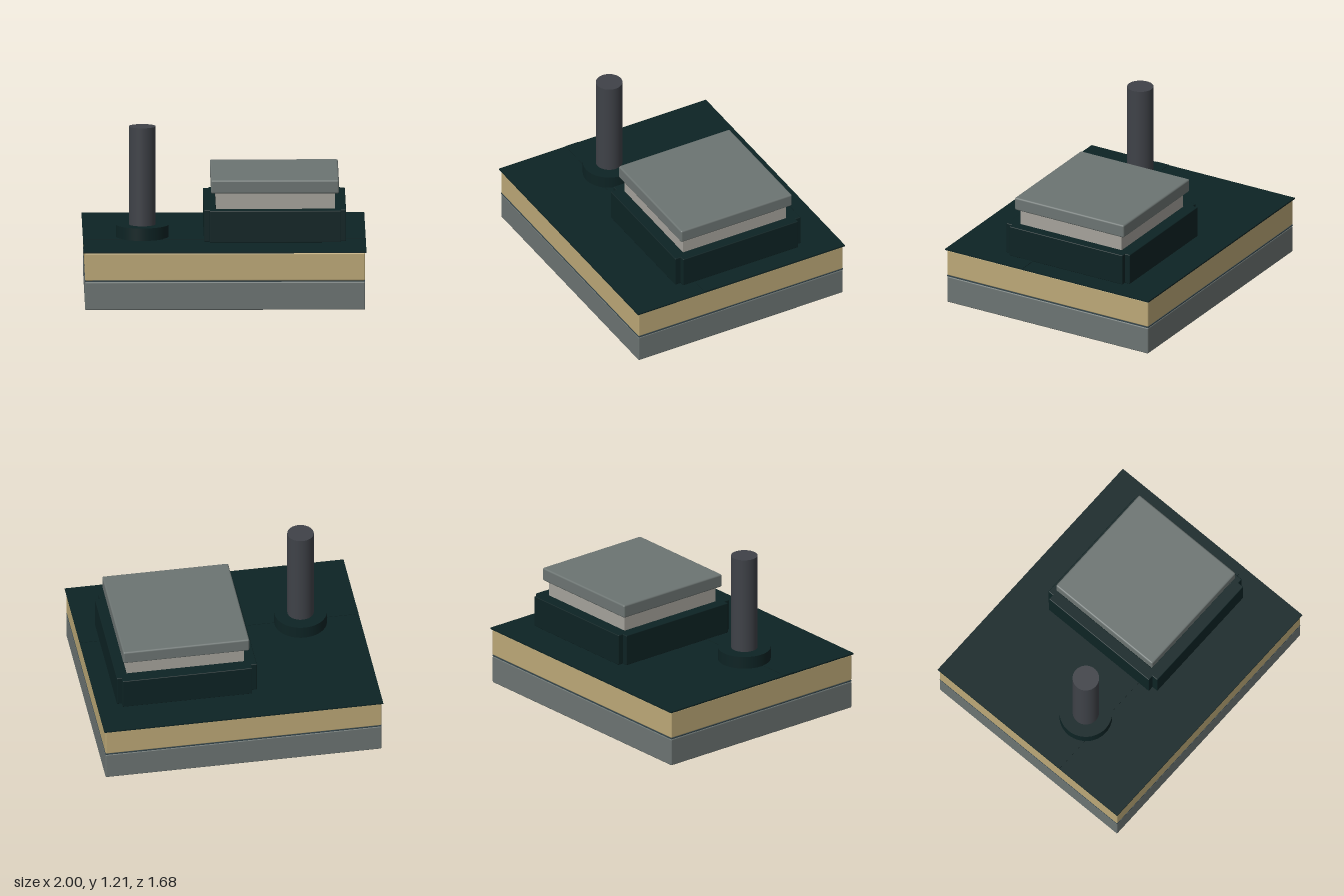
import * as THREE from 'three';
import { RoundedBoxGeometry } from 'three/addons/geometries/RoundedBoxGeometry.js';

const material = (name, color) => {
  const m = new THREE.MeshStandardMaterial({ color });
  m.name = name;
  return m;
};

export function createModel() {
  const concrete = material('concrete grey', 0x6c7472);
  const insulation = material('insulation tan', 0xbca877);
  const membrane = material('membrane dark green', 0x0d2324);
  const vapour = material('vapour layer slate', 0x34444a);
  const curbPaint = material('curb beige', 0xa5a29b);
  const pipeGrey = material('pipe charcoal', 0x3f4248);

  const model = new THREE.Group();
  model.name = 'flatRoofSection';

  // Box given by its min and max on each axis, with an optional edge radius
  const box = (name, mat, [x0, x1], [y0, y1], [z0, z1], radius = 0) => {
    const size = [x1 - x0, y1 - y0, z1 - z0];
    const geometry = radius
      ? new RoundedBoxGeometry(...size, 2, radius)
      : new THREE.BoxGeometry(...size);
    const mesh = new THREE.Mesh(geometry, mat);
    mesh.name = name;
    mesh.position.set((x0 + x1) / 2, (y0 + y1) / 2, (z0 + z1) / 2);
    model.add(mesh);
  };

  // Upright cylinder standing at the vent position
  const cylinder = (name, mat, radius, y0, y1) => {
    const mesh = new THREE.Mesh(new THREE.CylinderGeometry(radius, radius, y1 - y0, 48), mat);
    mesh.name = name;
    mesh.position.set(-0.58, (y0 + y1) / 2, 0.183);
    model.add(mesh);
  };

  // Roof build-up, bottom to top
  box('concreteSlab', concrete, [-0.99, 0.99], [0, 0.2], [-0.83, 0.83], 0.008);
  box('vapourLayer', vapour, [-0.99, 0.99], [0.202, 0.21], [-0.83, 0.83]);
  box('insulationBoard', insulation, [-0.99, 0.99], [0.21, 0.406], [-0.83, 0.83], 0.008);
  box('roofMembrane', membrane, [-1, 1], [0.408, 0.418], [-0.84, 0.84]);
  // Lapped seam in the membrane
  box('membraneSeam', membrane, [-1, 1], [0.418, 0.421], [0.2, 0.3]);

  // Rooflight: curb, four membrane upstands and a lid
  box('rooflightCurb', curbPaint, [-0.06, 0.78], [0.418, 0.76], [-0.485, 0.35]);
  for (const [side, z] of [['Front', [0.35, 0.44]], ['Back', [-0.58, -0.485]]]) {
    box(`upstand${side}`, membrane, [-0.105, 0.825], [0.418, 0.645], z, 0.005);
  }
  for (const [side, x] of [['Right', [-0.145, -0.06]], ['Left', [0.78, 0.86]]]) {
    box(`upstand${side}`, membrane, x, [0.418, 0.645], [-0.54, 0.395], 0.005);
  }
  box('rooflightLid', concrete, [-0.095, 0.81], [0.757, 0.854], [-0.52, 0.382], 0.012);

  // Vent pipe with its membrane collar
  cylinder('pipeCollar', membrane, 0.187, 0.412, 0.507);
  cylinder('ventPipe', pipeGrey, 0.094, 0.41, 1.21);

  return model;
}
